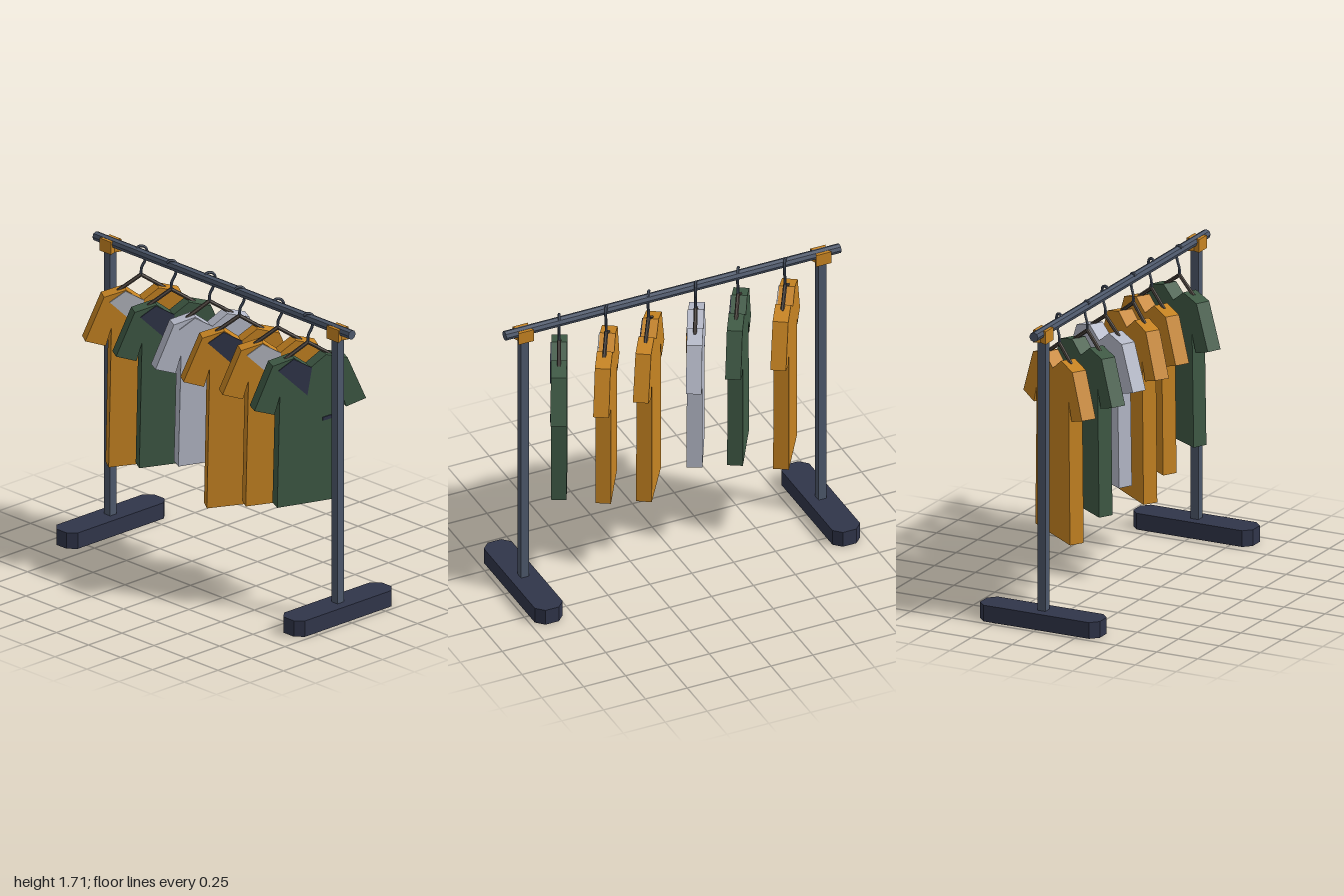
import * as THREE from 'three';

const mat = (name, color) => {
  const m = new THREE.MeshStandardMaterial({ color, flatShading: true });
  m.name = name;
  return m;
};

export function createModel() {
  const steel = mat('slate steel', 0x4d586b);
  const navy = mat('navy', 0x30354a);
  const amber = mat('amber', 0xc78422);
  const green = mat('forest green', 0x3f5a45);
  const silver = mat('silver grey', 0xb6bac9);
  const wood = mat('dark wood', 0x4c443e);
  const lapelGrey = mat('lapel grey', 0xb4b7c0);

  const model = new THREE.Group();
  model.name = 'clothesRack';

  const add = (parent, name, geometry, material, x = 0, y = 0, z = 0) => {
    const mesh = new THREE.Mesh(geometry, material);
    mesh.name = name;
    mesh.position.set(x, y, z);
    parent.add(mesh);
    return mesh;
  };
  const prism = (points, depth) => new THREE.ExtrudeGeometry(
    new THREE.Shape(points.map(([x, y]) => new THREE.Vector2(x, y))),
    { depth, bevelEnabled: false });
  // Outline in plan, raised upward
  const slab = (points, height) => prism(points, height).rotateX(-Math.PI / 2);

  // Frame: rail, posts, brackets and chamfered feet
  const railY = 1.673;
  add(model, 'rail', new THREE.CylinderGeometry(0.027, 0.027, 2, 8).rotateZ(Math.PI / 2), steel, 0, railY, 0);
  const w = 0.083, d = 0.365, c = 0.043;
  const footOutline = [[-w + c, -d], [w - c, -d], [w, -d + c], [w, d - c],
    [w - c, d], [-w + c, d], [-w, d - c], [-w, -d + c]];
  const bracketOutline = [[-0.046, -0.038], [0.046, -0.038], [0.031, 0],
    [0.046, 0.038], [-0.046, 0.038], [-0.031, 0]];
  for (const side of [-1, 1]) {
    const x = side * 0.888;
    add(model, 'foot', slab(footOutline, 0.092), navy, x, 0, 0);
    add(model, 'post', new THREE.BoxGeometry(0.048, 1.56, 0.048), steel, x, 0.87, 0);
    add(model, 'bracket', slab(bracketOutline, 0.073), amber, x, 1.618, 0);
  }

  // Hanger: hook over the rail, stem and two sloping arms
  const hookPoints = [];
  for (let i = 0; i <= 5; i++) {
    const a = THREE.MathUtils.degToRad(140 - i * 28);
    hookPoints.push(new THREE.Vector3(0.033 * Math.cos(a), railY + 0.033 * Math.sin(a), 0));
  }
  hookPoints.push(new THREE.Vector3(0.022, 1.62, 0), new THREE.Vector3(0.003, 1.58, 0), new THREE.Vector3(0, 1.53, 0));
  const hookGeometry = new THREE.TubeGeometry(new THREE.CatmullRomCurve3(hookPoints), 24, 0.008, 6);
  const armVector = new THREE.Vector3(0.13, -0.085, 0);
  const armGeometry = new THREE.CylinderGeometry(0.011, 0.011, armVector.length(), 6);

  const thickness = 0.085;
  const addPlate = (parent, name, points, material, lift = 0) =>
    add(parent, name, prism(points, 0.006), material, 0, 0, thickness / 2 + lift);

  const makeGarment = ({ hem, cloth, lapel, pocket, tab }) => {
    const g = new THREE.Group();
    g.name = 'garment';
    add(g, 'hook', hookGeometry, steel);
    for (const s of [-1, 1]) {
      const arm = add(g, 'hangerArm', armGeometry, wood, s * 0.065, 1.4975, 0);
      arm.rotation.z = s * Math.atan2(armVector.x, -armVector.y);
    }
    // Shirt outline: sleeves, V neck and a slightly slanted hem
    const half = [[0.172, 1.26], [0.203, 1.157], [0.316, 1.193], [0.212, 1.44], [0.09, 1.472]];
    const outline = [[-0.187, hem], [0.187, hem + 0.018], ...half, [0, 1.405],
      ...half.map(([x, y]) => [-x, y]).reverse()];
    add(g, 'shirt', prism(outline, thickness), cloth, 0, 0, -thickness / 2);
    addPlate(g, 'lapel', [[-0.182, 1.41], [-0.018, 1.25], [0.008, 1.408], [-0.095, 1.468]], lapel);
    if (pocket) addPlate(g, 'pocketTrim', [[0.07, 1.092], [0.15, 1.108], [0.15, 1.128], [0.07, 1.112]], navy);
    if (tab) addPlate(g, 'tab', [[-0.029, 1.27], [0.029, 1.27], [0.029, 1.36], [-0.029, 1.36]], amber, 0.004);
    return g;
  };

  // Six garments along the rail, each turned a little differently
  const garments = [
    { angle: 57.8, hem: 0.45, cloth: amber, lapel: lapelGrey, pocket: true, tab: true },
    { angle: 59.7, hem: 0.533, cloth: green, lapel: navy, pocket: true },
    { angle: 62.8, hem: 0.615, cloth: silver, lapel: silver, tab: true },
    { angle: 56.9, hem: 0.45, cloth: amber, lapel: navy },
    { angle: 59.5, hem: 0.533, cloth: amber, lapel: lapelGrey, pocket: true, tab: true },
    { angle: 64, hem: 0.615, cloth: green, lapel: navy, pocket: true },
  ];
  garments.forEach((spec, i) => {
    const g = makeGarment(spec);
    g.position.set(-0.667 + i * 0.267, 0, i % 2 ? 0.012 : -0.018);
    g.rotation.y = THREE.MathUtils.degToRad(spec.angle);
    model.add(g);
  });

  return model;
}
